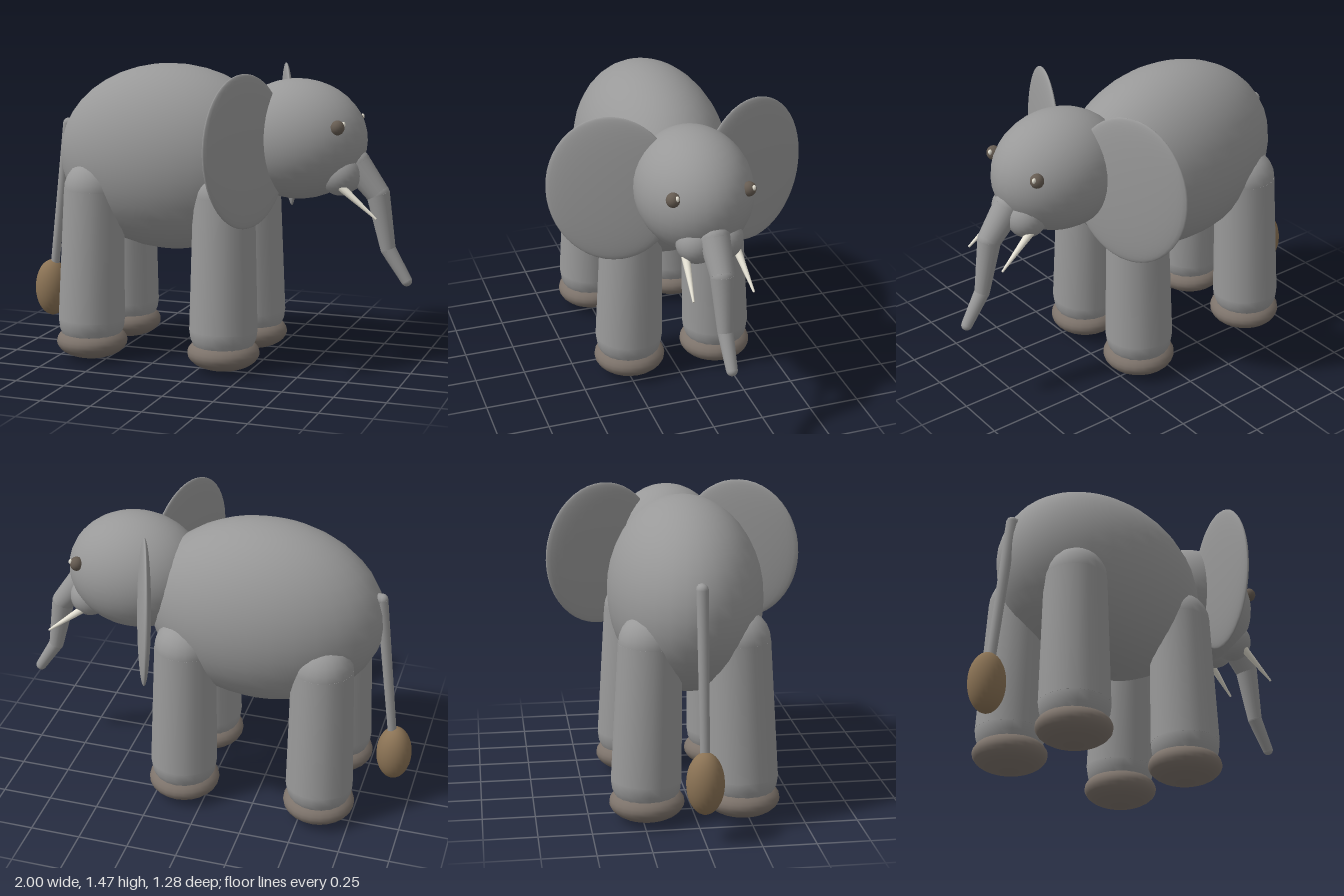
import * as THREE from 'three';

const material = (name, color) => {
  const m = new THREE.MeshStandardMaterial({ color });
  m.name = name;
  return m;
};

export function createModel() {
  const skin = material('grey skin', 0x999999);
  const sole = material('foot brown', 0x7d736b);
  const hair = material('tail hair brown', 0x8b7355);
  const eyeDark = material('eye brown', 0x665c52);
  const ivory = material('ivory', 0xeeeadc);

  const model = new THREE.Group();
  model.name = 'elephant';

  const add = (parent, name, geometry, mat) => {
    const mesh = new THREE.Mesh(geometry, mat);
    mesh.name = name;
    parent.add(mesh);
    return mesh;
  };

  const ellipsoid = (parent, name, mat, pos, radii, w = 24, h = 16) => {
    const mesh = add(parent, name, new THREE.SphereGeometry(1, w, h), mat);
    mesh.position.set(...pos);
    mesh.scale.set(...radii);
    return mesh;
  };

  // Tapered cylinder running from point a (radius ra) to point b (radius rb)
  const limb = (parent, name, mat, a, b, ra, rb, sides = 16) => {
    const from = new THREE.Vector3(...a);
    const to = new THREE.Vector3(...b);
    const dir = to.clone().sub(from);
    const mesh = add(parent, name, new THREE.CylinderGeometry(rb, ra, dir.length(), sides), mat);
    mesh.position.copy(from).add(to).multiplyScalar(0.5);
    mesh.quaternion.setFromUnitVectors(new THREE.Vector3(0, 1, 0), dir.normalize());
    return mesh;
  };

  // Chain of tapered limbs with a ball at every joint; joints are [x, y, z, r]
  const chain = (parent, name, mat, joints, sides = 16) => {
    joints.forEach(([x, y, z, r], i) => {
      ellipsoid(parent, name + 'Joint', mat, [x, y, z], [r, r, r], sides, 12);
      if (i === 0) return;
      const p = joints[i - 1];
      limb(parent, name + 'Segment', mat, p.slice(0, 3), [x, y, z], p[3], r, sides);
    });
  };

  const group = (name) => {
    const g = new THREE.Group();
    g.name = name;
    model.add(g);
    return g;
  };

  // Body and head
  ellipsoid(model, 'body', skin, [-0.235, 1.007, 0], [0.588, 0.465, 0.37], 32, 20);
  const head = group('head');
  ellipsoid(head, 'skull', skin, [0.42, 1.125, 0], [0.34, 0.292, 0.275], 32, 20);

  // Trunk
  chain(group('trunk'), 'trunk', skin, [
    [0.71, 1.015, 0, 0.073],
    [0.822, 0.875, 0, 0.057],
    [0.876, 0.61, 0, 0.037],
    [0.97, 0.46, 0, 0.027],
  ]);

  // Paired parts of the face
  for (const [side, s] of [['left', 1], ['right', -1]]) {
    ellipsoid(head, side + 'Cheek', skin, [0.65, 0.968, s * 0.062], [0.098, 0.1, 0.098]);

    const ear = ellipsoid(head, side + 'Ear', skin, [0.267, 1.098, s * 0.35], [0.031, 0.364, 0.31], 32, 24);
    ear.rotation.set(0, -s * 0.36, 0.045, 'ZYX');

    limb(head, side + 'Tusk', ivory, [0.63, 0.95, s * 0.118], [0.85, 0.778, s * 0.145], 0.024, 0.005, 12);

    ellipsoid(head, side + 'Eye', eyeDark, [0.665, 1.208, s * 0.181], [0.033, 0.035, 0.033], 16, 12);
    ellipsoid(head, side + 'EyeGlint', ivory, [0.69, 1.222, s * 0.182 - 0.013], [0.01, 0.014, 0.009], 10, 8);
  }

  // Four legs: knee-to-hip column with rounded ends on a flattened foot
  for (const [end, footX, hipX] of [['front', 0.117, 0.112], ['hind', -0.585, -0.573]]) {
    for (const [side, s] of [['Left', 1], ['Right', -1]]) {
      const leg = group(end + side + 'Leg');
      chain(leg, 'leg', skin, [
        [footX, 0.2, s * 0.23, 0.167],
        [hipX, 0.85, s * 0.207, 0.15],
      ], 20);
      ellipsoid(leg, 'foot', sole, [footX, 0.086, s * 0.228], [0.178, 0.086, 0.178]);
    }
  }

  // Tail with its tuft
  const tail = group('tail');
  chain(tail, 'tail', skin, [
    [-0.77, 1.15, 0, 0.028],
    [-0.803, 1.15, 0, 0.028],
    [-0.9, 0.36, 0, 0.022],
  ], 12);
  ellipsoid(tail, 'tailTuft', hair, [-0.911, 0.283, 0], [0.088, 0.147, 0.088]);

  return model;
}
